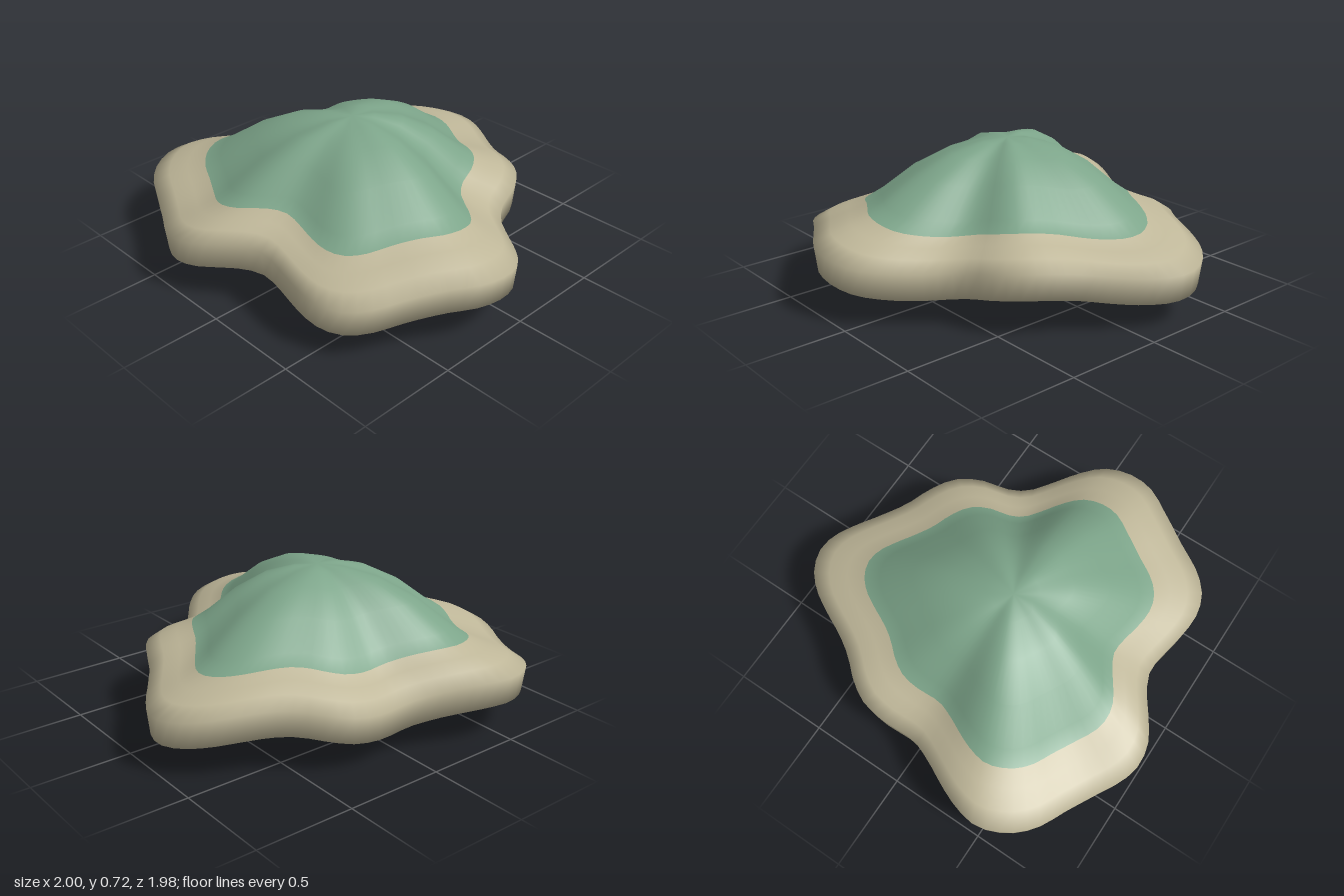
import * as THREE from 'three';

// Shoreline seen from above as x, z pairs
const SHORE = [
  [-0.26, -0.995], [-0.16, -0.985], [-0.05, -0.93], [0.08, -0.84], [0.2, -0.76], [0.33, -0.7],
  [0.45, -0.62], [0.53, -0.5], [0.57, -0.37], [0.63, -0.28], [0.75, -0.19], [0.87, -0.1],
  [0.96, 0], [0.997, 0.13], [0.98, 0.27], [0.9, 0.41], [0.81, 0.56], [0.72, 0.72],
  [0.63, 0.8], [0.53, 0.83], [0.43, 0.83], [0.3, 0.81], [0.17, 0.79], [0.09, 0.795], [0, 0.84],
  [-0.1, 0.91], [-0.2, 0.97], [-0.31, 0.988], [-0.41, 0.965], [-0.53, 0.9], [-0.68, 0.82],
  [-0.84, 0.74], [-0.94, 0.64], [-0.998, 0.5], [-0.985, 0.39], [-0.94, 0.27], [-0.87, 0.13],
  [-0.82, 0], [-0.82, -0.2], [-0.8, -0.32], [-0.74, -0.42], [-0.66, -0.51], [-0.6, -0.6],
  [-0.53, -0.74], [-0.46, -0.86], [-0.37, -0.95],
];
const CENTRE = { x: -0.045, z: 0.075 };

// Rings from summit to underside: outline scale, height, height of the waves
const RINGS = [
  [0.13, 0.714, 0.004], [0.3, 0.672, 0.01], [0.48, 0.582, 0.016], [0.65, 0.457, 0.024], [0.73, 0.41, 0.028],
  [0.82, 0.378, 0.03], [0.915, 0.347, 0.03], [1, 0.3, 0.03],
  [0.985, 0.168, 0.03], [0.6, 0.048, 0.022],
];
const GRASS_RINGS = 5;
const SEGMENTS = 90;

export function createModel() {
  const model = new THREE.Group();
  const grass = new THREE.MeshStandardMaterial({ color: 0x7da58a });
  grass.name = 'grass green';
  const sand = new THREE.MeshStandardMaterial({ color: 0xbfb799 });
  sand.name = 'sand';

  const shore = new THREE.CatmullRomCurve3(
    SHORE.map(([x, z]) => new THREE.Vector3(x - CENTRE.x, 0, z - CENTRE.z)), true);
  const outline = shore.getSpacedPoints(SEGMENTS).slice(0, SEGMENTS);

  // Vertices: summit, rings with five waves around, then the bottom centre
  const positions = [CENTRE.x, 0.72, CENTRE.z];
  for (const [scale, height, wave] of RINGS) {
    for (const p of outline) {
      const angle = Math.atan2(p.z, p.x);
      const y = height + wave * Math.cos(5 * angle - 1.27);
      positions.push(CENTRE.x + p.x * scale, y, CENTRE.z + p.z * scale);
    }
  }
  positions.push(CENTRE.x, 0, CENTRE.z);

  const at = (ring, i) => 1 + ring * SEGMENTS + (i % SEGMENTS);
  const bottom = 1 + RINGS.length * SEGMENTS;
  const grassFaces = [];
  const sandFaces = [];
  for (let i = 0; i < SEGMENTS; i++) {
    grassFaces.push(0, at(0, i + 1), at(0, i));
    for (let r = 0; r < RINGS.length - 1; r++) {
      const faces = r + 1 < GRASS_RINGS ? grassFaces : sandFaces;
      const a = at(r, i), b = at(r, i + 1), c = at(r + 1, i), d = at(r + 1, i + 1);
      faces.push(a, b, d, a, d, c);
    }
    const last = RINGS.length - 1;
    sandFaces.push(bottom, at(last, i), at(last, i + 1));
  }

  // One smooth surface shared by both parts
  const surface = new THREE.BufferGeometry();
  surface.setAttribute('position', new THREE.Float32BufferAttribute(positions, 3));
  surface.setIndex([...grassFaces, ...sandFaces]);
  surface.computeVertexNormals();

  const addPart = (name, faces, material) => {
    const part = surface.clone();
    part.setIndex(faces);
    const mesh = new THREE.Mesh(part, material);
    mesh.name = name;
    model.add(mesh);
  };
  addPart('grassyHill', grassFaces, grass);
  addPart('sandyShore', sandFaces, sand);
  return model;
}
